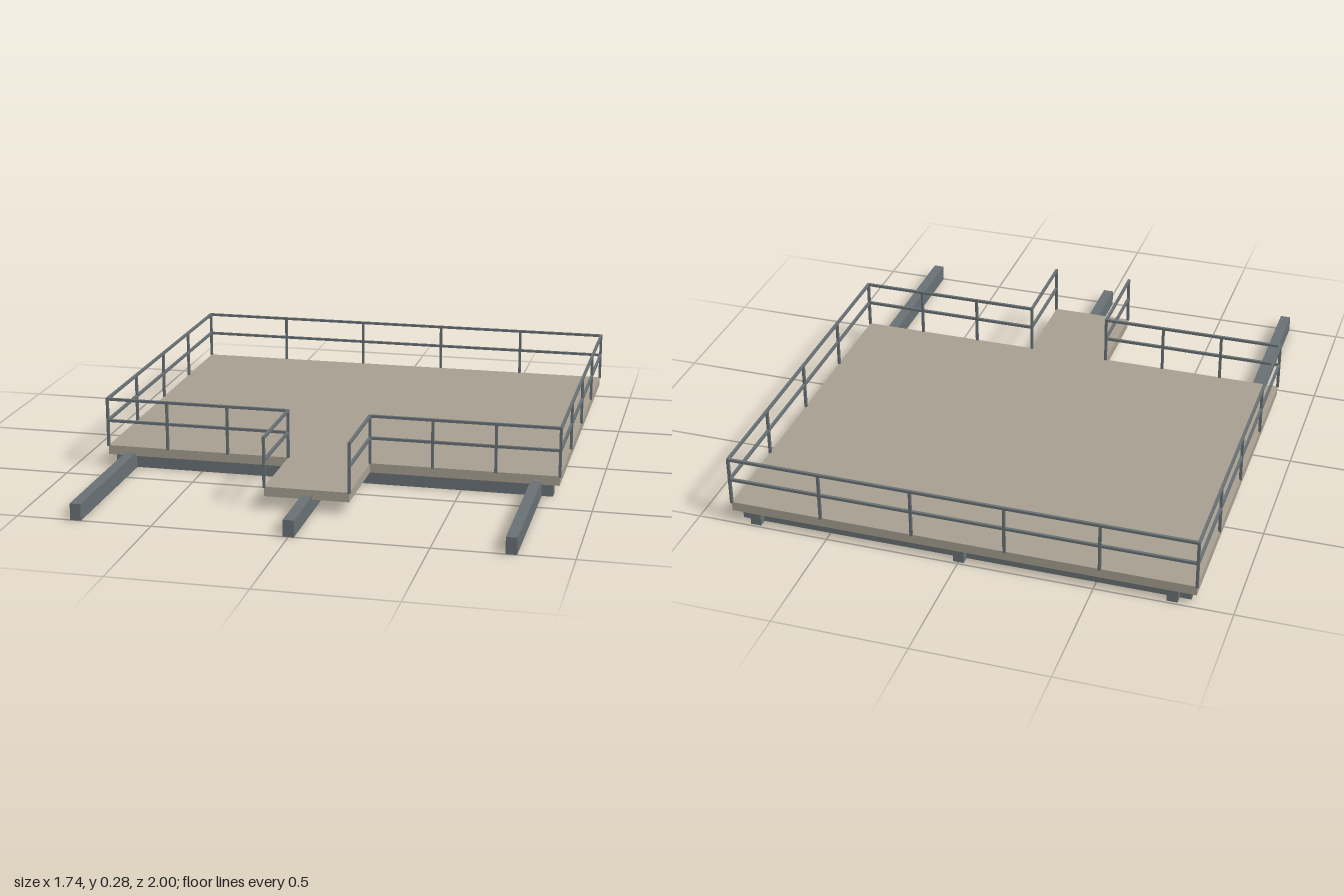
import * as THREE from 'three';

export function createModel() {
  const model = new THREE.Group();
  const deckMat = new THREE.MeshStandardMaterial({ color: 0xa9a192 });
  deckMat.name = 'deckBeige';
  const steelMat = new THREE.MeshStandardMaterial({ color: 0x6a7276 });
  steelMat.name = 'steelGrey';

  // Box given by its two extreme corners
  function box(parent, name, mat, [x0, y0, z0], [x1, y1, z1]) {
    const mesh = new THREE.Mesh(new THREE.BoxGeometry(x1 - x0, y1 - y0, z1 - z0), mat);
    mesh.position.set((x0 + x1) / 2, (y0 + y1) / 2, (z0 + z1) / 2);
    mesh.name = name;
    parent.add(mesh);
  }

  const W = 0.867, BACK = -0.995, FRONT = 0.388; // deck edges
  const GW = 0.157, GEND = 0.737;                // gangway edges
  const BOTTOM = 0.05, TOP = 0.086;

  // T-shaped deck: platform plus gangway, as one slab
  const outline = [[-W, BACK], [W, BACK], [W, FRONT], [GW, FRONT],
    [GW, GEND], [-GW, GEND], [-GW, FRONT], [-W, FRONT]];
  const shape = new THREE.Shape(outline.map(([x, z]) => new THREE.Vector2(x, -z)));
  const slab = new THREE.ExtrudeGeometry(shape, { depth: TOP - BOTTOM, bevelEnabled: false });
  slab.rotateX(-Math.PI / 2);
  const deck = new THREE.Mesh(slab, deckMat);
  deck.position.y = BOTTOM;
  deck.name = 'deck';
  model.add(deck);

  // Support frame: long runners and cross beams
  const frame = new THREE.Group();
  frame.name = 'supportFrame';
  model.add(frame);
  for (const x of [-0.78, 0, 0.78])
    box(frame, 'runner', steelMat, [x - 0.02, 0, -0.99], [x + 0.02, 0.062, 1]);
  for (const z of [-0.94, -0.297, 0.353])
    box(frame, 'crossBeam', steelMat, [-0.842, 0.001, z - 0.02], [0.842, BOTTOM, z + 0.02]);

  // Railing run between two points, with evenly spaced posts
  const T = 0.005; // half thickness
  function railing(name, [xa, za], [xb, zb], spans) {
    const run = new THREE.Group();
    run.name = name;
    model.add(run);
    for (const y of [0.185, 0.27])
      box(run, 'rail', steelMat,
        [Math.min(xa, xb) - T, y - T, Math.min(za, zb) - T],
        [Math.max(xa, xb) + T, y + T, Math.max(za, zb) + T]);
    for (let i = 0; i <= spans; i++) {
      const x = xa + (xb - xa) * i / spans, z = za + (zb - za) * i / spans;
      box(run, 'post', steelMat, [x - T, TOP - 0.003, z - T], [x + T, 0.27, z + T]);
    }
  }

  railing('backRailing', [-W, BACK], [W, BACK], 5);
  for (const [side, s] of [['left', 1], ['right', -1]]) {
    railing(side + 'SideRailing', [s * W, BACK], [s * W, FRONT], 4);
    railing(side + 'FrontRailing', [s * W, FRONT], [s * GW, FRONT], 3);
    railing(side + 'GangwayRailing', [s * GW, FRONT], [s * GW, GEND], 1);
  }
  return model;
}
